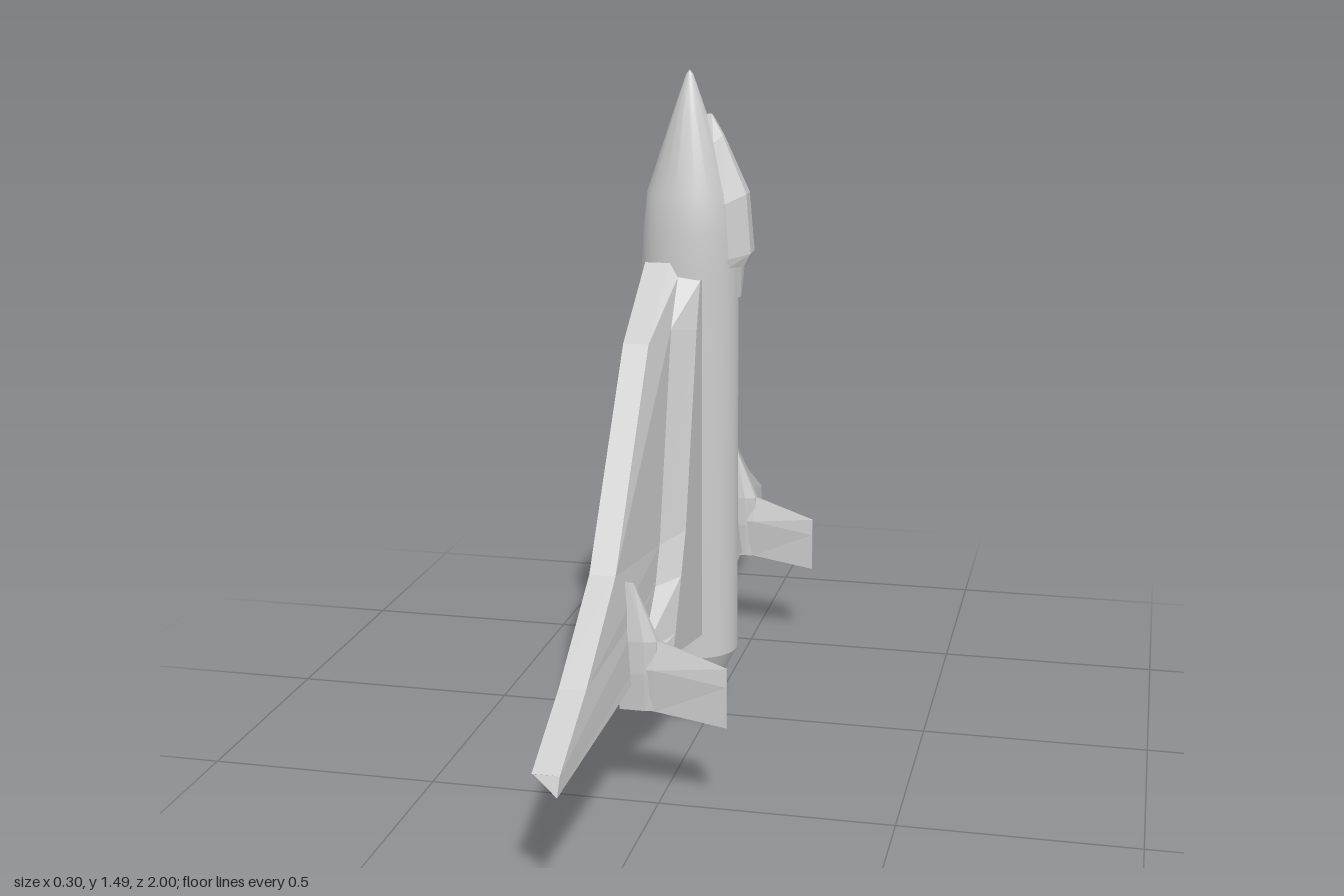
import * as THREE from 'three';
import { toCreasedNormals } from 'three/addons/utils/BufferGeometryUtils.js';

const smooth = new THREE.MeshStandardMaterial({ color: 0xcccccc });
const flat = new THREE.MeshStandardMaterial({ color: 0xcccccc, flatShading: true });
const AXIS_X = -0.045, AXIS_Z = -0.006;

function add(parent, name, geometry, material = flat) {
  const mesh = new THREE.Mesh(geometry, material);
  mesh.name = name;
  parent.add(mesh);
  return mesh;
}

// Skin closed rings of [x, y, z], listed top to bottom, each running +x, +z, -x.
function loft(rings, flip = false) {
  const pos = [];
  const tri = (a, b, c) => pos.push(...a, ...(flip ? c : b), ...(flip ? b : c));
  const n = rings[0].length;
  for (let i = 0; i < rings.length - 1; i++) {
    const r = rings[i], s = rings[i + 1];
    for (let j = 0; j < n; j++) {
      const k = (j + 1) % n;
      tri(r[j], r[k], s[k]);
      tri(r[j], s[k], s[j]);
    }
  }
  const top = rings[0], end = rings[rings.length - 1];
  for (let j = 0; j < n - 2; j++) {
    tri(top[n - 1], top[j + 1], top[j]);
    tri(end[n - 1], end[j], end[j + 1]);
  }
  const g = new THREE.BufferGeometry();
  g.setAttribute('position', new THREE.Float32BufferAttribute(pos, 3));
  g.computeVertexNormals();
  return g;
}

// Wing stations from top to trailing edge: [z, y] of root, crease, valley, leading edge
const STATIONS = [
  [[0, 1.04], [0.1, 1.04], [0.12, 1.05], [0.09, 1.075]],
  [[0, 0.94], [0.135, 0.94], [0.185, 0.95], [0.285, 0.935]],
  [[0, 0.52], [0.245, 0.52], [0.3, 0.5], [0.572, 0.518]],
  [[0, 0.43], [0.29, 0.43], [0.34, 0.42], [0.8, 0.362]],
  [[0, 0.32], [0.345, 0.32], [0.45, 0.31], [0.985, 0.265]],
  [[0, 0.205], [0.37, 0.278], [0.5, 0.277], [1.006, 0.23]],
];

function wing(side) {
  const place = (x, [z, y]) => [x, y, Math.max(-1, side * z + AXIS_Z)];
  const rings = STATIONS.map(([root, crease, valley, lead], i) => {
    const last = i === STATIONS.length - 1;
    return [
      place(0, root), place(0, crease), place(-0.045, valley), place(-0.07, lead),
      place(-0.125, last ? [0.975, 0.26] : lead),
      place(-0.125, last ? [0, 0.26] : root),
    ];
  });
  return loft(rings, side < 0);
}

// Symmetric ring from [x, y, halfWidth] points running front to back
function mirrorRing(points) {
  return [
    ...points.map(([x, y, w]) => [x, y, w]),
    ...points.slice().reverse().map(([x, y, w]) => [x, y, -w]),
  ];
}

export function createModel() {
  const model = new THREE.Group();
  model.name = 'spaceplane';

  // Oval fuselage with pointed nose and tapered tail
  const profile = [
    [0, 0.07], [0.06, 0.07], [0.108, 0.165], [0.108, 1.06], [0.104, 1.14],
    [0.095, 1.22], [0.036, 1.395], [0.008, 1.475], [0, 1.485],
  ].map(([r, y]) => new THREE.Vector2(r, y));
  const hull = new THREE.LatheGeometry(profile, 40);
  const body = add(model, 'fuselage', toCreasedNormals(hull, 0.38), smooth);
  body.scale.z = 0.86;
  body.position.set(AXIS_X, 0, AXIS_Z);

  // Four engine nozzles
  for (const sx of [-1, 1]) for (const sz of [-1, 1]) {
    const nozzle = add(model, 'nozzle', new THREE.CylinderGeometry(0.023, 0.023, 0.08, 16), smooth);
    nozzle.position.set(AXIS_X + sx * 0.03, 0.04, AXIS_Z + sz * 0.022);
  }

  // Small blister on the back of the tail
  const blister = add(model, 'tailBlister', new THREE.ConeGeometry(0.013, 0.05, 8));
  blister.position.set(-0.107, 0.105, AXIS_Z + 0.02);

  // Raised canopy, with a narrow wedge under its lower end
  const canopy = new THREE.Group();
  canopy.name = 'canopy';
  canopy.position.z = AXIS_Z;
  model.add(canopy);
  add(canopy, 'canopyShell', loft([
    [[0.005, 1.39, 0.004], [-0.005, 1.39, 0.012], [-0.03, 1.38, 0.012]],
    [[0.03, 1.345, 0.009], [0.012, 1.33, 0.022], [-0.03, 1.33, 0.022]],
    [[0.085, 1.22, 0.02], [0.042, 1.2, 0.042], [-0.03, 1.2, 0.042]],
    [[0.096, 1.09, 0.022], [0.052, 1.08, 0.045], [-0.03, 1.08, 0.045]],
    [[0.08, 1.06, 0.02], [0.05, 1.06, 0.042], [-0.03, 1.06, 0.042]],
  ].map(mirrorRing)));
  add(canopy, 'canopyWedge', loft([
    [[0.088, 1.1, 0.02], [0.04, 1.1, 0.02]],
    [[0.075, 1.06, 0.017], [0.04, 1.06, 0.017]],
    [[0.07, 0.99, 0.005], [0.04, 0.99, 0.005]],
  ].map(mirrorRing)));

  // Wings, each with a pod and a fin near the trailing edge
  for (const side of [1, -1]) {
    add(model, side > 0 ? 'leftWing' : 'rightWing', wing(side));
    const tail = new THREE.Group();
    tail.name = side > 0 ? 'leftFin' : 'rightFin';
    tail.position.z = AXIS_Z + side * 0.525;
    model.add(tail);
    add(tail, 'finPod', loft([
      [[-0.045, 0.49, 0.001], [-0.055, 0.49, 0.002], [-0.07, 0.49, 0.002]],
      [[0.005, 0.37, 0.009], [-0.02, 0.37, 0.018], [-0.075, 0.37, 0.018]],
      [[0.005, 0.3, 0.009], [-0.02, 0.3, 0.018], [-0.075, 0.3, 0.018]],
      [[0, 0.217, 0.006], [-0.02, 0.217, 0.01], [-0.075, 0.217, 0.01]],
    ].map(mirrorRing)));
    add(tail, 'finBlade', loft([
      [[0.15, 0.32, 0.001], [0, 0.372, 0.004], [-0.05, 0.372, 0.004]],
      [[0.15, 0.28, 0.003], [0, 0.31, 0.017], [-0.05, 0.31, 0.017]],
      [[0.15, 0.19, 0.001], [0, 0.216, 0.006], [-0.05, 0.222, 0.006]],
    ].map(mirrorRing)));
  }

  return model;
}
